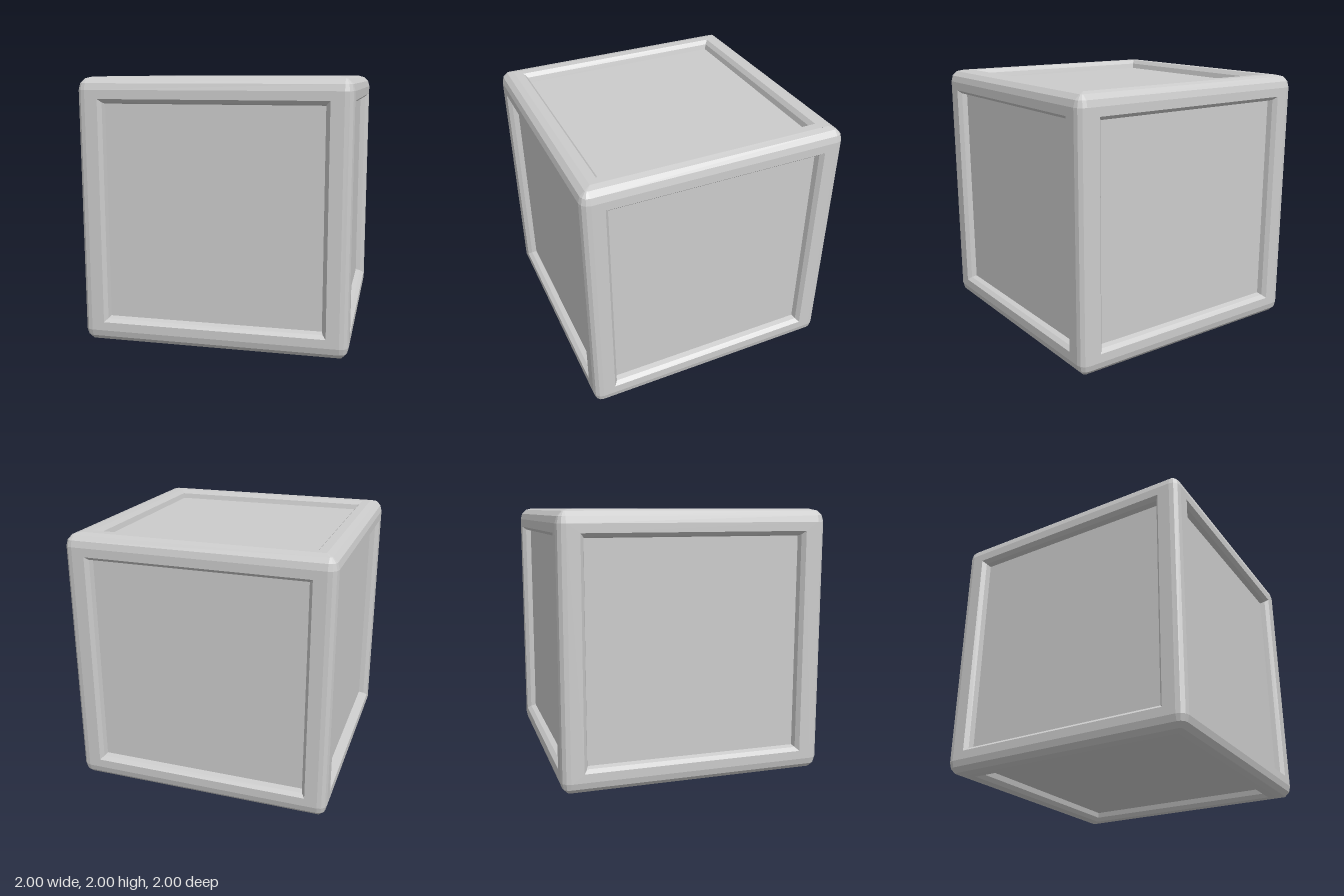
import * as THREE from 'three';

const RIM = 0.095;   // rounding of the horizontal edges
const POST = 0.065;  // rounding of the upright edges
const STEPS = 3;     // facets per rounding
const HOLE = 0.84, DEPTH = 0.07, PANEL = 0.805;

const material = new THREE.MeshStandardMaterial({ color: 0xcccccc, flatShading: true });

// Joins successive closed loops of points with quads; skip(layer, i) leaves a quad out
function skin(loops, skip = () => false) {
  const n = loops[0].length;
  const index = [];
  for (let l = 0; l < loops.length - 1; l++) {
    for (let i = 0; i < n; i++) {
      if (skip(l, i)) continue;
      const j = (i + 1) % n;
      const a = l * n + i, b = l * n + j, c = b + n, d = a + n;
      index.push(a, b, c, a, c, d);
    }
  }
  const geometry = new THREE.BufferGeometry().setFromPoints(loops.flat());
  geometry.setIndex(index);
  geometry.computeVertexNormals();
  return geometry;
}

// Horizontal square loop of half size h with corners of radius r
function roundedLoop(h, r, y) {
  const points = [];
  for (let k = 0; k < 4; k++) {
    const mid = (k + 0.5) * Math.PI / 2;
    const cx = Math.sign(Math.cos(mid)) * (h - r);
    const cz = Math.sign(Math.sin(mid)) * (h - r);
    for (let s = 0; s <= STEPS; s++) {
      const t = (k + s / STEPS) * Math.PI / 2;
      points.push(new THREE.Vector3(cx + r * Math.cos(t), y, -cz - r * Math.sin(t)));
    }
  }
  return points;
}

// Rounded edges: lower rim, upright corners and upper rim
function edgeGeometry() {
  const layers = [];
  for (let s = 0; s <= STEPS; s++) {
    const t = (s / STEPS) * Math.PI / 2;
    const inset = RIM * (1 - Math.cos(t));
    layers.push({ h: 1 - inset, r: Math.max(0.001, POST - inset), y: 1 - RIM + RIM * Math.sin(t) });
  }
  const loops = [
    ...[...layers].reverse().map(({ h, r, y }) => roundedLoop(h, r, -y)),
    ...layers.map(({ h, r, y }) => roundedLoop(h, r, y)),
  ];
  // the flat sides between the rims are filled by the face frames
  return skin(loops, (l, i) => l === STEPS && i % (STEPS + 1) === STEPS);
}

// Flat frame with a bevelled recess, facing +z
function frameGeometry(w, h) {
  const rect = (a, b, z) => [[-a, -b], [a, -b], [a, b], [-a, b]].map(([x, y]) => new THREE.Vector3(x, y, z));
  return skin([
    rect(w, h, 1),
    rect(HOLE, HOLE, 1),
    rect(0.815, 0.815, 0.97),
    rect(PANEL, PANEL, 1 - DEPTH),
  ]);
}

export function createModel() {
  const model = new THREE.Group();
  model.name = 'panelledCube';

  const add = (parent, name, geometry) => {
    const mesh = new THREE.Mesh(geometry, material);
    mesh.name = name;
    parent.add(mesh);
    return mesh;
  };

  const edges = add(model, 'roundedEdges', edgeGeometry());
  edges.position.y = 1;

  // Six faces: each a frame and a sunken panel
  const flat = 1 - RIM;
  const sideFrame = frameGeometry(1 - POST, flat);
  const capFrame = frameGeometry(flat, flat);
  const panel = new THREE.PlaneGeometry(PANEL * 2, PANEL * 2);
  const q = Math.PI / 2;
  const faces = [
    ['front', 0, 0], ['left', 0, q], ['back', 0, 2 * q], ['right', 0, -q],
    ['top', -q, 0], ['bottom', q, 0],
  ];
  for (const [name, rx, ry] of faces) {
    const face = new THREE.Group();
    face.name = name + 'Face';
    add(face, name + 'Frame', rx ? capFrame : sideFrame);
    add(face, name + 'Panel', panel).position.z = 1 - DEPTH;
    face.rotation.set(rx, ry, 0);
    face.position.y = 1;
    model.add(face);
  }
  return model;
}
